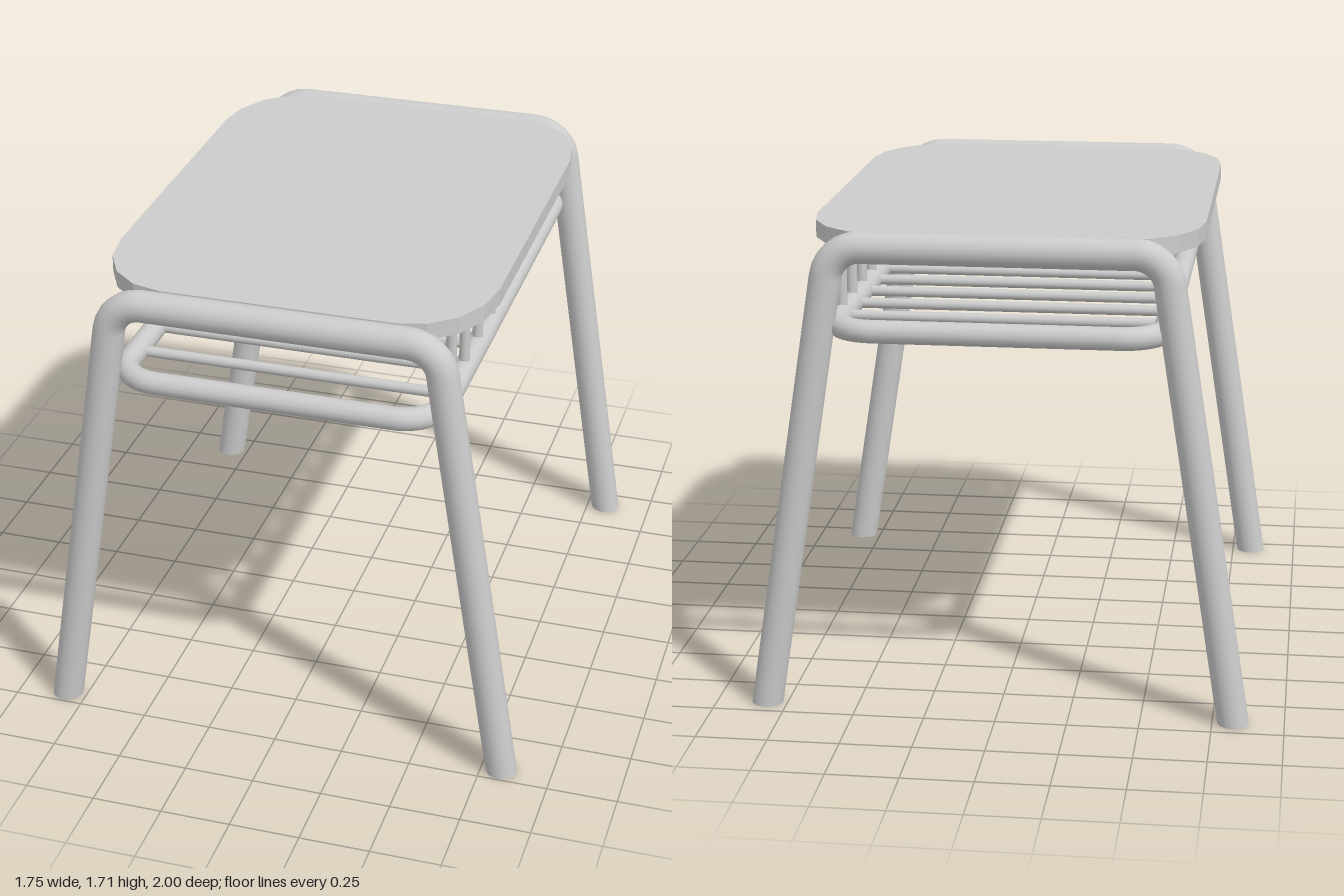
import * as THREE from 'three';

const material = new THREE.MeshStandardMaterial({ color: 0xcccccc });
const V = (x, y, z) => new THREE.Vector3(x, y, z);

function addMesh(parent, name, geometry) {
  const mesh = new THREE.Mesh(geometry, material);
  mesh.name = name;
  parent.add(mesh);
  return mesh;
}

// Path through corner points with every bend rounded off
function roundedPath(points, radius, closed) {
  const path = new THREE.CurvePath();
  const n = points.length;
  const toward = (a, b) => a.clone().add(b.clone().sub(a).setLength(radius));
  let from = closed ? toward(points[0], points[1]) : points[0];
  for (let i = 1; i < (closed ? n + 1 : n - 1); i++) {
    const corner = points[i % n], next = points[(i + 1) % n];
    const start = toward(corner, points[i - 1]), end = toward(corner, next);
    path.add(new THREE.LineCurve3(from, start));
    // Cubic handles give a near circular bend
    path.add(new THREE.CubicBezierCurve3(start, start.clone().lerp(corner, 0.55),
      end.clone().lerp(corner, 0.55), end));
    from = end;
  }
  if (!closed) path.add(new THREE.LineCurve3(from, points[n - 1]));
  return path;
}

// Bent tube forming a pair of legs and the bar between them
function addLegFrame(parent, name, z) {
  const group = new THREE.Group();
  group.name = name;
  group.position.z = z;
  parent.add(group);
  const r = 0.055, foot = 0.822;
  const path = roundedPath([V(-foot, 0, 0), V(-0.565, 1.65, 0), V(0.565, 1.65, 0), V(foot, 0, 0)], 0.1, false);
  const segments = 160, sides = 20;
  const tube = new THREE.TubeGeometry(path, segments, r, sides, false);
  // Flatten the feet onto the ground
  const pos = tube.attributes.position;
  for (let j = 0; j <= sides; j++) {
    pos.setY(j, 0);
    pos.setY(segments * (sides + 1) + j, 0);
  }
  addMesh(group, 'bentTube', tube);
  for (const side of [-1, 1]) {
    const cap = addMesh(group, side > 0 ? 'leftFootCap' : 'rightFootCap', new THREE.CircleGeometry(r, sides));
    cap.rotation.x = Math.PI / 2;
    cap.position.x = side * foot;
  }
}

// Seat panel with facetted elliptical corners
function seatGeometry() {
  const shape = new THREE.Shape();
  const points = [];
  for (let q = 0; q < 4; q++) {
    const sx = q === 0 || q === 3 ? 1 : -1, sz = q < 2 ? 1 : -1;
    for (let i = 0; i <= 4; i++) {
      const a = (q + i / 4) * Math.PI / 2;
      points.push(new THREE.Vector2(sx * 0.408 + 0.27 * Math.cos(a), sz * 0.555 + 0.34 * Math.sin(a)));
    }
  }
  shape.setFromPoints(points);
  const geometry = new THREE.ExtrudeGeometry(shape, { depth: 0.06, bevelEnabled: false });
  return geometry.rotateX(-Math.PI / 2);
}

export function createModel() {
  const model = new THREE.Group();
  model.name = 'stool';

  addLegFrame(model, 'frontLegs', 0.94);
  addLegFrame(model, 'backLegs', -0.912);

  const seat = addMesh(model, 'seat', seatGeometry());
  seat.position.set(-0.002, 1.634, 0.003);

  // Storage rack below the seat
  const rack = new THREE.Group();
  rack.name = 'rack';
  rack.position.y = 1.373;
  model.add(rack);

  const x = 0.56, z = 0.958;
  const ring = roundedPath([V(-x, 0, -z), V(-x, 0, z), V(x, 0, z), V(x, 0, -z)], 0.14, true);
  addMesh(rack, 'rackRing', new THREE.TubeGeometry(ring, 200, 0.04, 16, true));

  // Cross rods, each with an upright on the left side
  const rod = 0.019;
  for (let i = -4; i <= 4; i++) {
    const rodZ = 0.007 + i * 0.185;
    const cross = addMesh(rack, 'crossRod', new THREE.CylinderGeometry(rod, rod, 2 * x, 12));
    cross.rotation.z = Math.PI / 2;
    cross.position.z = rodZ;
    const upright = addMesh(rack, 'uprightRod', new THREE.CylinderGeometry(rod, rod, 0.27, 12));
    upright.position.set(x, 0.135, rodZ);
  }
  return model;
}
